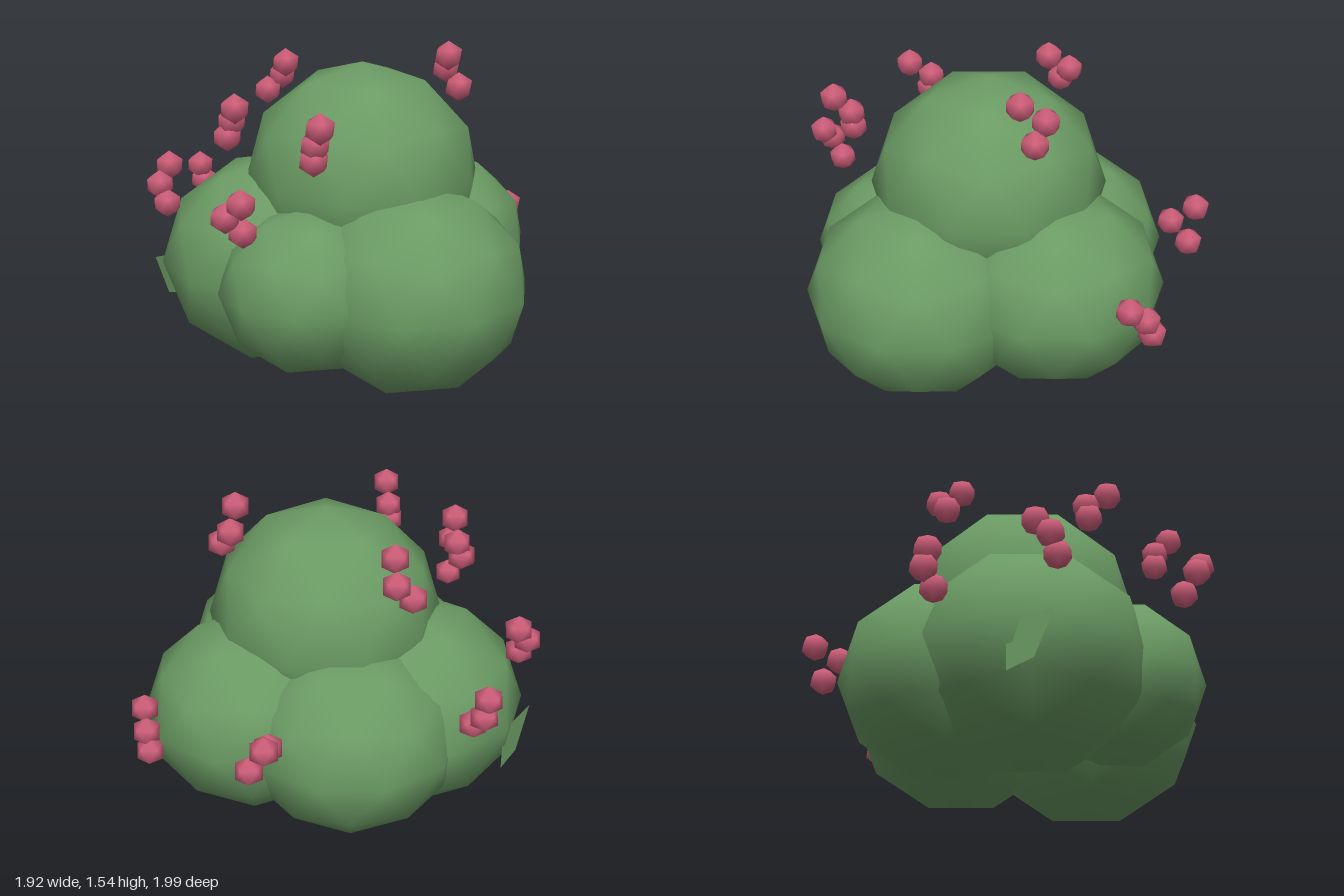
import * as THREE from 'three';

// Low-poly sphere with its pole on y and smooth normals
function ball(detail) {
  const g = new THREE.IcosahedronGeometry(1, detail);
  g.rotateZ(Math.PI / 2 - Math.atan((1 + Math.sqrt(5)) / 2));
  g.setAttribute('normal', g.getAttribute('position').clone());
  return g;
}

export function createModel() {
  const foliage = new THREE.MeshStandardMaterial({ color: 0x6b9b64, side: THREE.DoubleSide });
  foliage.name = 'foliage green';
  const pink = new THREE.MeshStandardMaterial({ color: 0xd15f7b });
  pink.name = 'berry pink';

  const bush = new THREE.Group();
  bush.name = 'berryBush';

  // Foliage clumps: name, centre, horizontal radius, vertical radius
  const clumpGeo = ball(1);
  const clumps = [
    ['topClump', [0.05, 0.925, 0.01], 0.55, 0.535],
    ['leftClump', [0.45, 0.487, 0.105], 0.535, 0.487],
    ['frontClump', [0.15, 0.5, 0.47], 0.41, 0.385],
    ['frontRightClump', [-0.26, 0.515, 0.265], 0.555, 0.5],
    ['backRightClump', [-0.33, 0.5, -0.125], 0.515, 0.46],
    ['backClump', [0.08, 0.525, -0.385], 0.515, 0.46],
  ];
  for (const [name, centre, r, ry] of clumps) {
    const m = new THREE.Mesh(clumpGeo, foliage);
    m.name = name;
    m.position.set(...centre);
    m.scale.set(r, ry, r);
    bush.add(m);
  }

  // Small leaf poking out of the front right clump
  const leafGeo = new THREE.BufferGeometry().setFromPoints([
    [-0.67, 0.51, 0.69], [-0.72, 0.47, 0.48], [-0.72, 0.26, 0.48], [-0.69, 0.3, 0.6],
  ].map((p) => new THREE.Vector3(...p)));
  leafGeo.setIndex([0, 1, 2, 0, 2, 3]);
  leafGeo.computeVertexNormals();
  const leaf = new THREE.Mesh(leafGeo, foliage);
  leaf.name = 'leaf';
  bush.add(leaf);

  // Berries in clusters of three
  const berryGeo = ball(0);
  const clusters = [
    [[-0.45, 1.39, 0.02], [-0.54, 1.31, -0.04], [-0.57, 1.24, 0.03]],
    [[-0.14, 1.31, 0.63], [-0.23, 1.23, 0.57], [-0.24, 1.16, 0.59]],
    [[0.4, 1.31, 0.64], [0.33, 1.22, 0.6], [0.32, 1.15, 0.6]],
    [[0.28, 1.47, -0.33], [0.2, 1.39, -0.41], [0.28, 1.31, -0.41]],
    [[-0.66, 0.95, 0.59], [-0.65, 0.87, 0.66], [-0.6, 0.79, 0.66]],
    [[-0.9, 0.83, 0.2], [-0.9, 0.75, 0.18], [-0.83, 0.68, 0.18]],
    [[0.2, 1.0, 0.91], [0.12, 0.93, 0.93], [0.14, 0.85, 0.85]],
    [[0.23, 0.62, -0.89], [0.15, 0.55, -0.93], [0.11, 0.47, -0.94]],
    [[-0.57, 0.76, -0.76], [-0.48, 0.7, -0.68], [-0.48, 0.62, -0.78]],
  ];
  for (const points of clusters) {
    const cluster = new THREE.Group();
    cluster.name = 'berryCluster';
    for (const p of points) {
      const berry = new THREE.Mesh(berryGeo, pink);
      berry.name = 'berry';
      berry.position.set(...p);
      berry.scale.setScalar(0.07);
      cluster.add(berry);
    }
    bush.add(cluster);
  }
  return bush;
}
